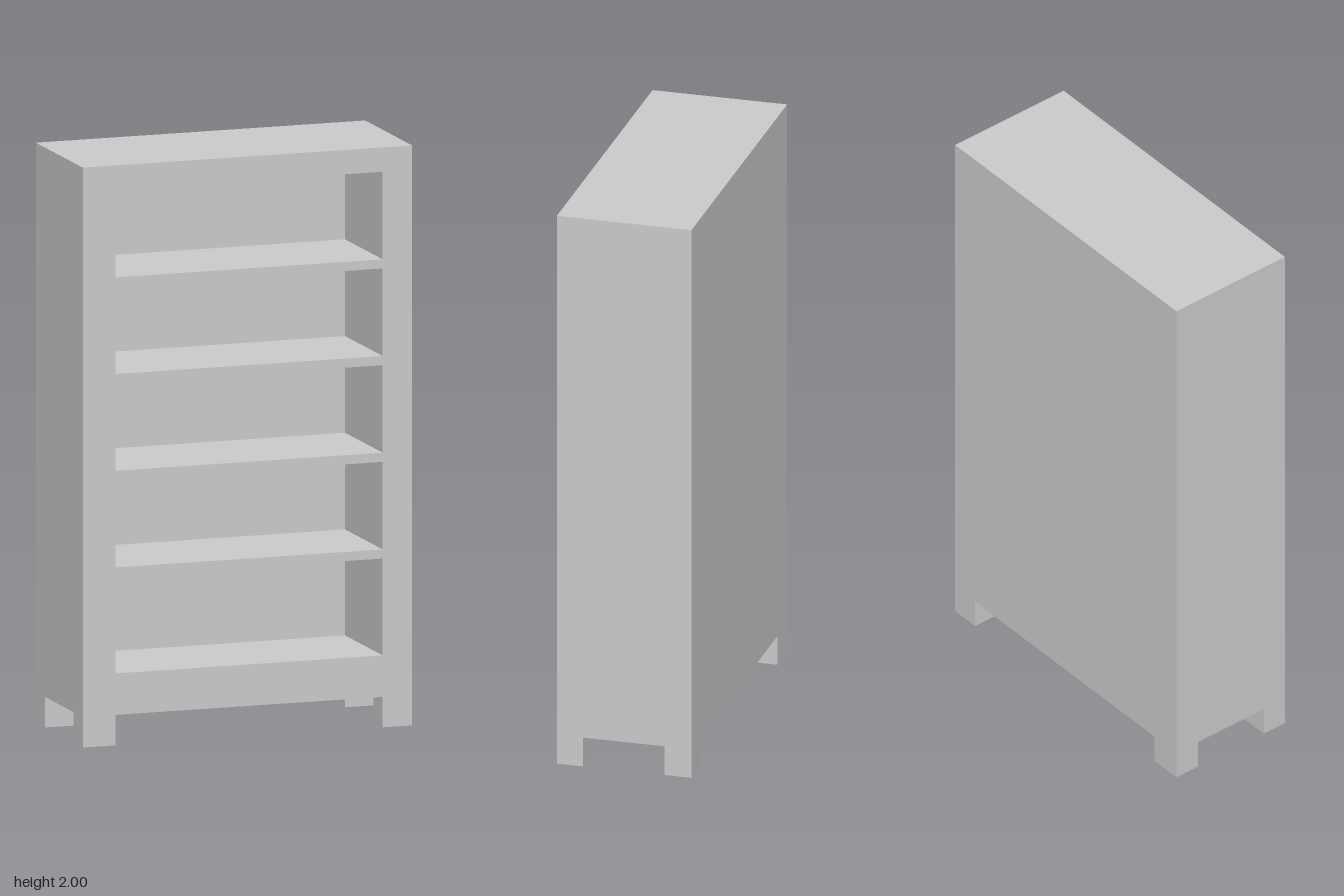
import * as THREE from 'three';

const W = 0.592, D = 0.237;            // half width, half depth
const BASE = 0.105, TOP = 2;           // underside and top of the body
const INNER_L = -0.474, INNER_R = 0.486; // sides of the openings
const BACK_Z = -0.143;                 // inner face of the back panel

function rect(path, x0, y0, x1, y1) {
  path.moveTo(x0, y0);
  path.lineTo(x1, y0);
  path.lineTo(x1, y1);
  path.lineTo(x0, y1);
  path.closePath();
  return path;
}

export function createModel() {
  const group = new THREE.Group();
  group.name = 'bookcase';
  const material = new THREE.MeshStandardMaterial({ color: 0xcccccc });

  function add(name, geometry) {
    const mesh = new THREE.Mesh(geometry, material);
    mesh.name = name;
    group.add(mesh);
    return mesh;
  }

  function box(name, x0, x1, y0, y1, z0, z1) {
    const mesh = add(name, new THREE.BoxGeometry(x1 - x0, y1 - y0, z1 - z0));
    mesh.position.set((x0 + x1) / 2, (y0 + y1) / 2, (z0 + z1) / 2);
  }

  // Carcass: sides, top, base and shelves around five openings
  const face = rect(new THREE.Shape(), -W, BASE, W, TOP);
  for (let i = 0; i < 5; i++) {
    const top = 0.582 + i * 0.3335;
    const bottom = i === 0 ? 0.248 : top - 0.302;
    face.holes.push(rect(new THREE.Path(), INNER_L, bottom, INNER_R, top));
  }
  const carcass = new THREE.ExtrudeGeometry(face, { depth: D - BACK_Z, bevelEnabled: false });
  carcass.translate(0, 0, BACK_Z);
  add('shelfFrame', carcass);

  // Solid back
  box('backPanel', -W, W, BASE, TOP, -D, BACK_Z);

  // Four square feet, flush with the outer corners
  for (const [side, x0, x1] of [['Right', -W, INNER_L], ['Left', INNER_R, W]]) {
    box('front' + side + 'Foot', x0, x1, 0, BASE, 0.145, D);
    box('back' + side + 'Foot', x0, x1, 0, BASE, -D, BACK_Z);
  }

  return group;
}
